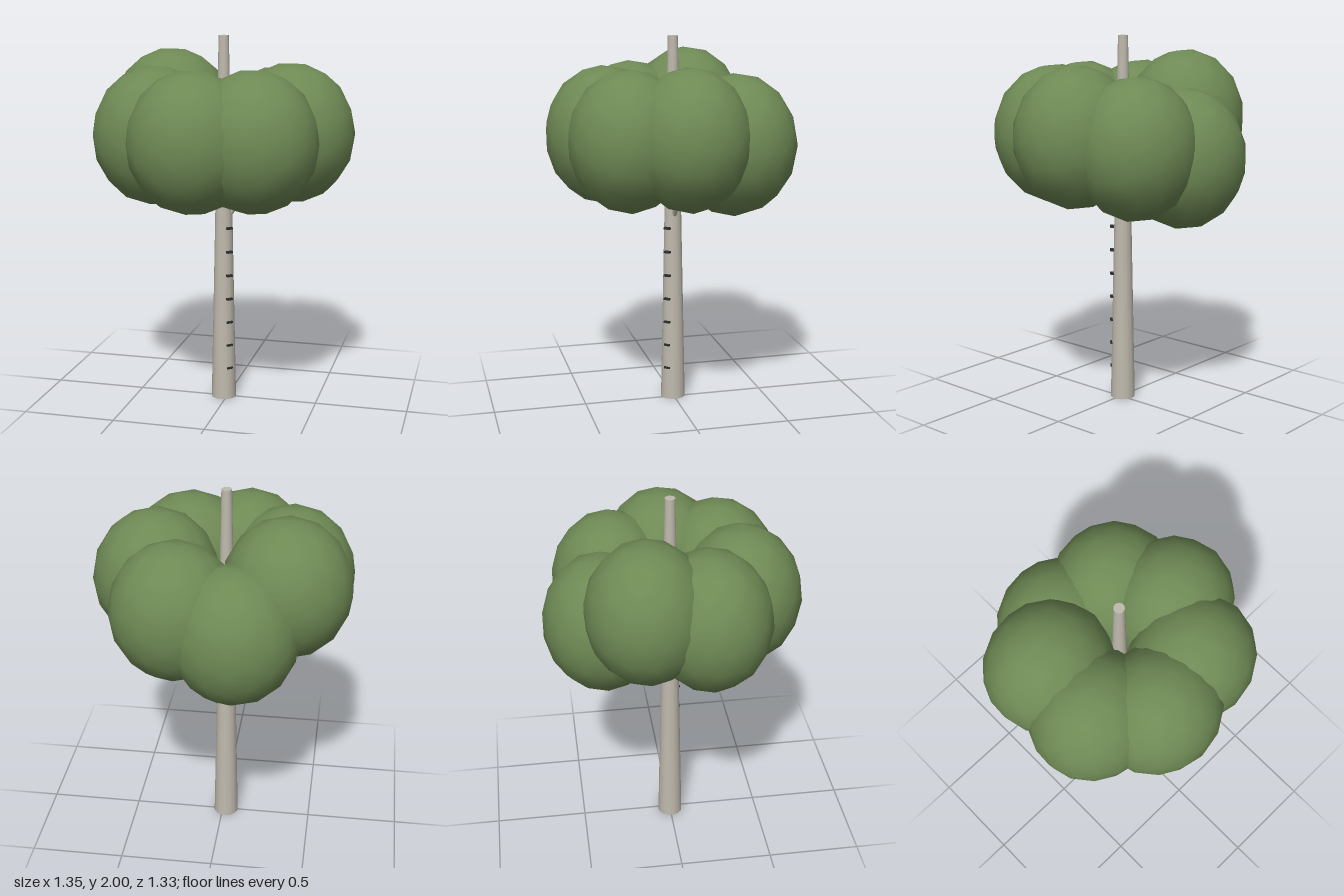
import * as THREE from 'three';

const mat = (name, color) => {
  const m = new THREE.MeshStandardMaterial({ color });
  m.name = name;
  return m;
};

export function createModel() {
  const bark = mat('pale bark', 0xbfbaad);
  const leaf = mat('leaf green', 0x6f8a55);
  const dark = mat('dark rung', 0x2e2e2c);

  const tree = new THREE.Group();
  tree.name = 'tree';
  const add = (name, geometry, material, parent = tree) => {
    const mesh = new THREE.Mesh(geometry, material);
    mesh.name = name;
    parent.add(mesh);
    return mesh;
  };

  // Everything is arranged around the trunk axis
  const axisX = -0.02;
  const trunkRadius = y => 0.068 - 0.0205 * y;
  add('trunk', new THREE.CylinderGeometry(trunkRadius(2), trunkRadius(0), 2, 14), bark)
    .position.set(axisX, 1, 0);

  // Ring of seven leaf clumps, each carried by a branch
  const clumps = new THREE.Group();
  clumps.name = 'crown';
  const branches = new THREE.Group();
  branches.name = 'branches';
  tree.add(clumps, branches);
  const clumpGeometry = new THREE.IcosahedronGeometry(1, 2);
  const heights = [1.495, 1.48, 1.477, 1.48, 1.55, 1.37, 1.447];
  const branchStarts = [1.04, 1.12, 1.14, 1.14, 1.14, 1.1, 1.08];
  const up = new THREE.Vector3(0, 1, 0);
  heights.forEach((y, i) => {
    const a = (i / heights.length) * Math.PI * 2;
    const dir = new THREE.Vector3(Math.cos(a), 0, Math.sin(a));
    const centre = dir.clone().multiplyScalar(0.365).add(new THREE.Vector3(axisX, y, 0));
    const clump = add('leafClump', clumpGeometry, leaf, clumps);
    clump.position.copy(centre);
    clump.scale.set(0.337, 0.371, 0.317);

    const start = dir.clone().multiplyScalar(0.03).add(new THREE.Vector3(axisX, branchStarts[i], 0));
    const along = centre.clone().sub(start);
    const branch = add('branch', new THREE.CylinderGeometry(0.009, 0.015, along.length(), 8), bark, branches);
    branch.position.copy(start).addScaledVector(along, 0.5);
    branch.quaternion.setFromUnitVectors(up, along.normalize());
  });

  // Climbing rungs up the front-left of the trunk
  const rungs = new THREE.Group();
  rungs.name = 'rungs';
  tree.add(rungs);
  const rungGeometry = new THREE.BoxGeometry(0.034, 0.011, 0.02);
  for (let i = 0; i < 8; i++) {
    const rung = add('rung', rungGeometry, dark, rungs);
    rung.position.set(axisX + 0.042, 0.18 + i * 0.132, 0.042);
    rung.rotation.y = Math.PI / 4;
  }
  return tree;
}
